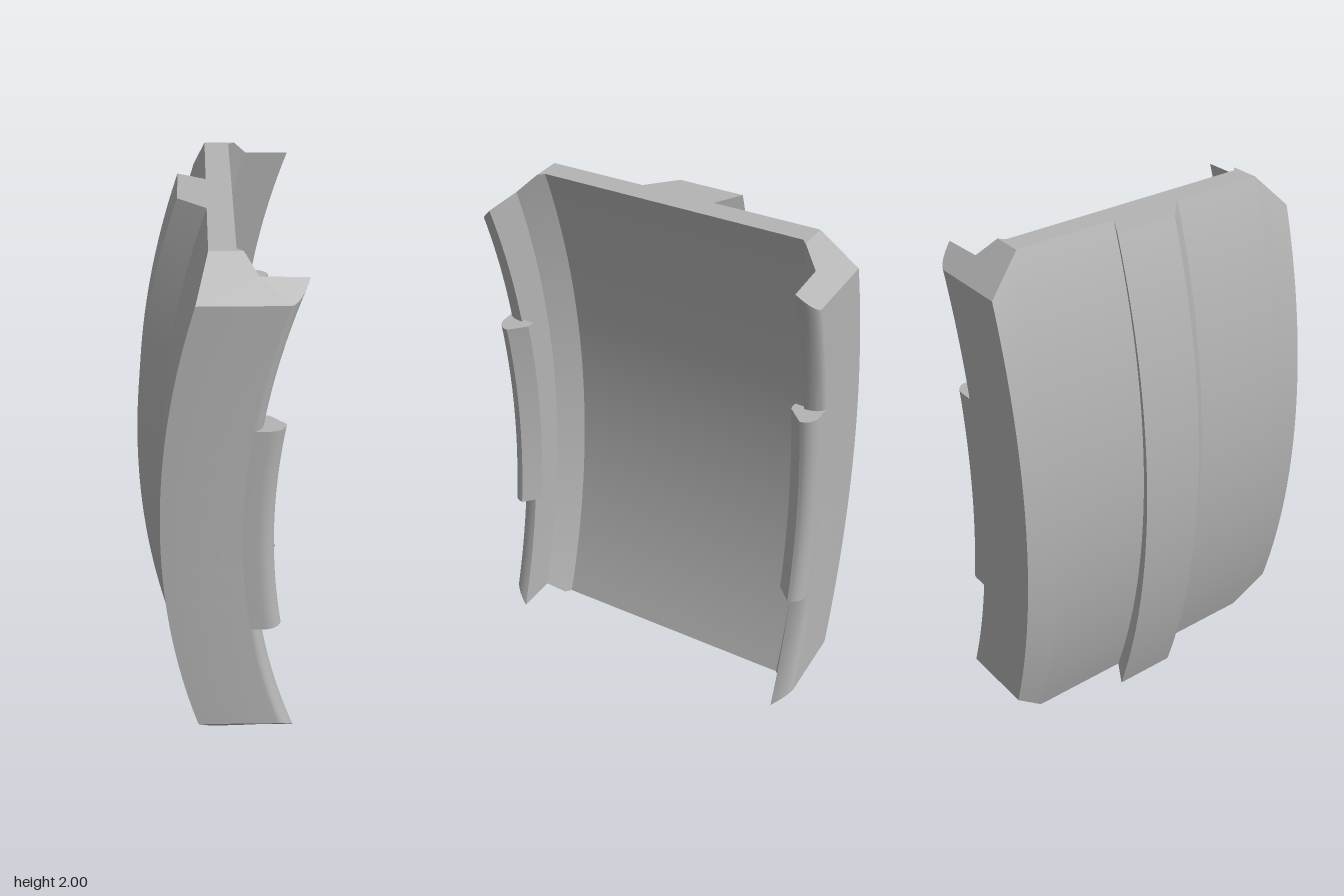
import * as THREE from 'three';
import { toCreasedNormals } from 'three/addons/utils/BufferGeometryUtils.js';

const AXIS_X = 2.83; // the panel bends around a z-parallel axis at this x, y = 1
const SEAM = 0.52;   // |z| where the corner chamfers begin
const STEPS = 40;

// Half height of the panel at a given z (45 degree chamfered corners)
const panelHalf = (z) => 1 - Math.max(0, Math.abs(z) - SEAM);

// Sweeps a closed section of [x at mid height, z] points around the bend axis,
// cutting each point's arc at the half height given for its z.
function sweep(section, halfHeight) {
  let pts = section.map(([d, z]) => new THREE.Vector2(d, z));
  if (THREE.ShapeUtils.area(pts) < 0) pts = pts.reverse();
  const point = (p, t) => {
    const h = t * halfHeight(p.y);
    const r = AXIS_X - p.x;
    return [AXIS_X - Math.sqrt(r * r - h * h), 1 + h, p.y];
  };
  const pos = [];
  const tri = (a, b, c) => pos.push(...a, ...b, ...c);
  pts.forEach((a, i) => {
    const b = pts[(i + 1) % pts.length];
    // no wall where neighbouring pieces join
    if (Math.abs(a.y) === SEAM && a.y === b.y) return;
    for (let k = 0; k < STEPS; k++) {
      const t0 = -1 + (2 * k) / STEPS;
      const t1 = -1 + (2 * (k + 1)) / STEPS;
      tri(point(a, t0), point(a, t1), point(b, t1));
      tri(point(a, t0), point(b, t1), point(b, t0));
    }
  });
  // flat end caps
  for (const [i, j, k] of THREE.ShapeUtils.triangulateShape(pts, [])) {
    tri(point(pts[i], -1), point(pts[j], -1), point(pts[k], -1));
    tri(point(pts[i], 1), point(pts[k], 1), point(pts[j], 1));
  }
  const geo = new THREE.BufferGeometry();
  geo.setAttribute('position', new THREE.Float32BufferAttribute(pos, 3));
  return toCreasedNormals(geo, 0.5);
}

// Quarter ellipse from the outer side face round to the tip
function roundTip(d, z, rd, rz, n = 8) {
  return Array.from({ length: n + 1 }, (_, i) => {
    const a = (i / n) * Math.PI / 2;
    return [d + rd * Math.sin(a), z + rz * Math.cos(a)];
  });
}

export function createModel() {
  const group = new THREE.Group();
  const grey = new THREE.MeshStandardMaterial({ color: 0xb4b4b4 });
  grey.name = 'plain grey';
  const add = (name, geo) => {
    const mesh = new THREE.Mesh(geo, grey);
    mesh.name = name;
    group.add(mesh);
  };

  // Curved plate with the slanted rib on its outer face
  add('plateWithRib', sweep([
    [-0.2, -SEAM], [-0.2, -0.125], [-0.295, -0.185], [-0.295, 0.06],
    [-0.2, 0.155], [-0.2, SEAM], [-0.094, SEAM], [-0.115, 0.5],
    [-0.115, -0.5], [-0.094, -SEAM],
  ], panelHalf));

  // Side flange with rounded lip
  const flange = [
    [-0.2, SEAM], [-0.2, 0.65],
    ...roundTip(0.085, 0.583, 0.037, 0.067),
    [-0.03, 0.58], [-0.094, SEAM],
  ];
  // Snap tab hooked over the middle of the lip
  const tab = [
    [0.085, 0.65],
    ...roundTip(0.14, 0.6, 0.056, 0.05),
    [0.139, 0.542], [0.108, 0.542], [0.108, 0.59], [0.085, 0.59],
  ];
  for (const [side, s] of [['front', 1], ['back', -1]]) {
    const mirrored = (section) => section.map(([d, z]) => [d, z * s]);
    add(side + 'Flange', sweep(mirrored(flange), panelHalf));
    add(side + 'SnapTab', sweep(mirrored(tab), () => 0.415));
  }
  return group;
}
